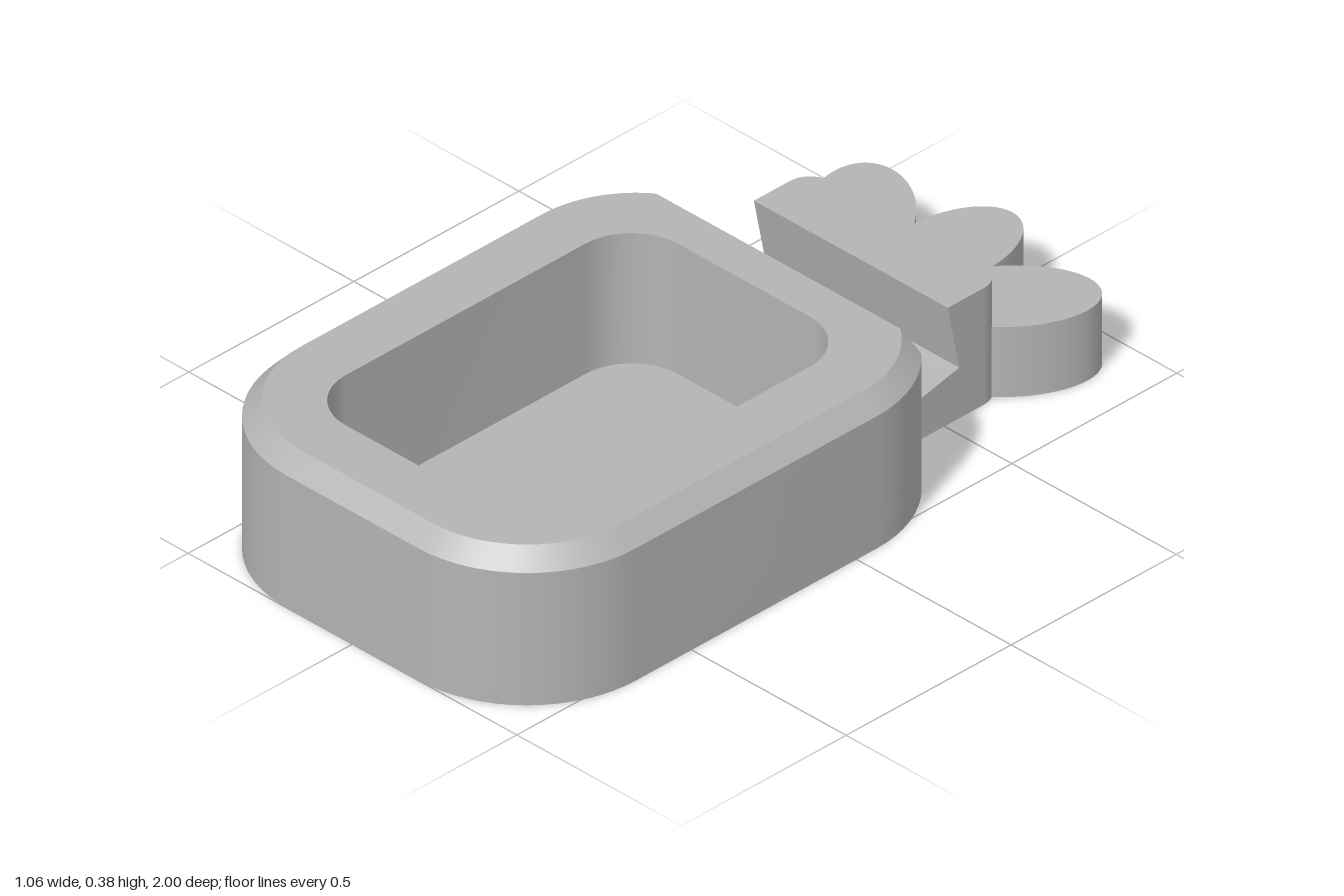
import * as THREE from 'three';
import { toCreasedNormals } from 'three/addons/utils/BufferGeometryUtils.js';

const ARC = 16; // segments per rounded corner

// Rounded rectangle ring at height y, cut straight across at z = cut on its back end
function ring(y, halfX, back, front, radius, cut = back) {
  const half = [];
  const cx = halfX - radius;
  const start = Math.acos(Math.min(1, (back + radius - cut) / radius));
  for (let i = 0; i <= ARC; i++) {
    const a = start + (Math.PI / 2 - start) * (i / ARC);
    half.push([cx + radius * Math.sin(a), y, back + radius - radius * Math.cos(a)]);
  }
  for (let i = 0; i <= ARC; i++) {
    const a = (Math.PI / 2) * (i / ARC);
    half.push([cx + radius * Math.cos(a), y, front - radius + radius * Math.sin(a)]);
  }
  return [...half, ...half.map(([x, h, z]) => [-x, h, z]).reverse()];
}

// Skin a chain of equal-length closed rings
function loft(rings) {
  const n = rings[0].length;
  const index = [];
  for (let r = 0; r < rings.length - 1; r++) {
    for (let i = 0; i < n; i++) {
      const a = r * n + i, b = r * n + (i + 1) % n;
      index.push(a, a + n, b, b, a + n, b + n);
    }
  }
  const geo = new THREE.BufferGeometry();
  geo.setAttribute('position', new THREE.Float32BufferAttribute(rings.flat(2), 3));
  geo.setIndex(index);
  return toCreasedNormals(geo, 0.5);
}

// Tray: chamfered rounded block, slanted back face, open pocket
function trayGeometry() {
  const TOP = 0.385, SHOULDER = 0.34, LEDGE = 0.09, FLOOR = 0.05, INSET = 0.043;
  const cutAt = (y) => -0.36 + 0.07 * (y - LEDGE) / (TOP - LEDGE);
  const outer = (y, inset, cut) =>
    ring(y, 0.53 - inset, -0.39 + inset, 1 - inset, 0.33 - inset, cut);
  const pocket = (y) => ring(y, 0.34, -0.185, 0.82, 0.14);
  const point = (y) => pocket(y).map(() => [0, y, 0.3]);

  const rings = [point(0), outer(0, 0), outer(LEDGE, 0)];
  for (let i = 0; i <= 8; i++) {
    const y = LEDGE + (SHOULDER - LEDGE) * (i / 8);
    rings.push(outer(y, 0, cutAt(y)));
  }
  for (let i = 1; i <= 3; i++) {
    const y = SHOULDER + (TOP - SHOULDER) * (i / 3);
    rings.push(outer(y, INSET * (i / 3), cutAt(y)));
  }
  rings.push(pocket(TOP), pocket(FLOOR), point(FLOOR));
  return loft(rings);
}

// Neck: notched side profile swept across x, with rounded rear corners
function neckGeometry() {
  const HALF = 0.295, R = 0.06, BACK = -0.68;
  const profile = [
    [0.33, 0], [0.68, 0], [0.68, 0.3], [0.51, 0.3], [0.545, 0.13], [0.36, 0.09], [0.33, 0.085],
  ].map(([x, y]) => new THREE.Vector2(x, y));
  const geo = new THREE.ExtrudeGeometry(new THREE.Shape(profile),
    { depth: 2, steps: 40, bevelEnabled: false });
  geo.translate(0, 0, -1);
  geo.rotateY(Math.PI / 2);
  const p = geo.attributes.position;
  for (let i = 0; i < p.count; i++) {
    const x = HALF * Math.sin(p.getX(i) * Math.PI / 2); // finer slices near the sides
    p.setX(i, x);
    const over = Math.min(R, Math.max(0, Math.abs(x) - (HALF - R)));
    if (p.getZ(i) < BACK + 0.01) p.setZ(i, BACK + R - Math.sqrt(R * R - over * over));
  }
  return toCreasedNormals(geo, 0.5);
}

export function createModel() {
  const model = new THREE.Group();
  model.name = 'clipTray';
  const grey = new THREE.MeshStandardMaterial({ color: 0xb4b4b4 });
  grey.name = 'grey';

  const add = (name, geo) => {
    const mesh = new THREE.Mesh(geo, grey);
    mesh.name = name;
    model.add(mesh);
    return mesh;
  };

  add('tray', trayGeometry());
  add('neck', neckGeometry());

  // Three oval leaves fanned out behind the neck
  const leafGeo = new THREE.CylinderGeometry(1, 1, 0.18, 64);
  leafGeo.scale(0.12, 1, 0.2);
  leafGeo.translate(0, 0.09, 0);
  const tilt = THREE.MathUtils.degToRad(40);
  add('middleLeaf', leafGeo).position.z = -0.8;
  for (const [name, side] of [['leftLeaf', 1], ['rightLeaf', -1]]) {
    const leaf = add(name, leafGeo);
    leaf.position.set(side * 0.227, 0, -0.764);
    leaf.rotation.y = -side * tilt;
  }
  return model;
}
